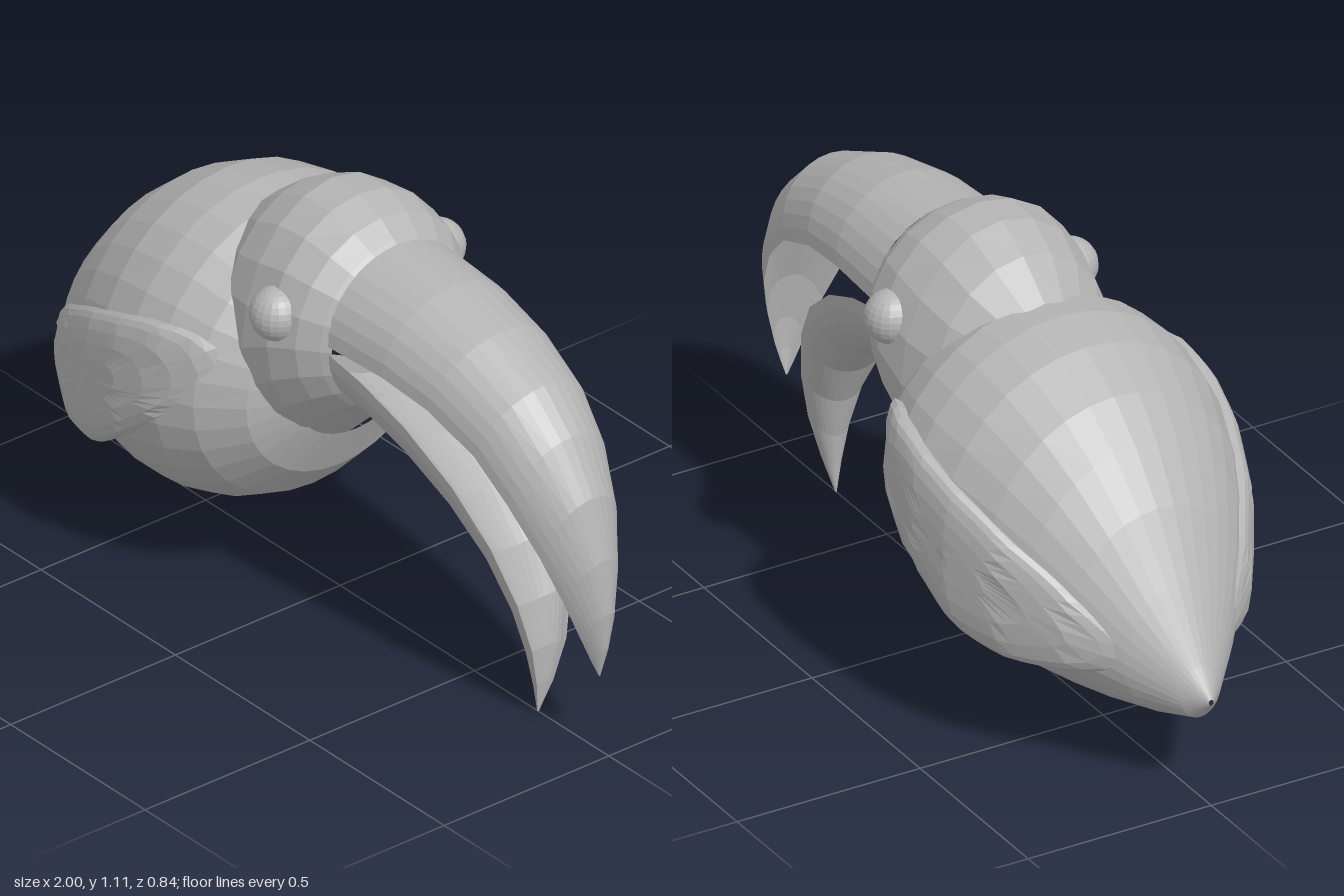
import * as THREE from 'three';

const plumage = new THREE.MeshStandardMaterial({ color: 0xb4b4b4, flatShading: true });
plumage.name = 'grey';

// Skin a list of equal-length closed rings and cap both ends
function loft(name, rings) {
  const pos = [], idx = [], n = rings[0].length;
  for (const ring of rings) for (const p of ring) pos.push(...p);
  for (let i = 0; i < rings.length - 1; i++) {
    for (let j = 0; j < n; j++) {
      const a = i * n + j, b = i * n + (j + 1) % n;
      idx.push(a, b, a + n, b, b + n, a + n);
    }
  }
  const cap = (ring, base, flip) => {
    const c = [0, 1, 2].map(k => ring.reduce((s, p) => s + p[k], 0) / n);
    const centre = pos.length / 3;
    pos.push(...c);
    for (let j = 0; j < n; j++) {
      const a = base + j, b = base + (j + 1) % n;
      if (flip) idx.push(centre, b, a);
      else idx.push(centre, a, b);
    }
  };
  cap(rings[0], 0, false);
  cap(rings[rings.length - 1], (rings.length - 1) * n, true);
  const geo = new THREE.BufferGeometry();
  geo.setAttribute('position', new THREE.Float32BufferAttribute(pos, 3));
  geo.setIndex(idx);
  geo.computeVertexNormals();
  const mesh = new THREE.Mesh(geo, plumage);
  mesh.name = name;
  return mesh;
}

// Oval cross-sections along x: [x, bottom, top, half width]
function ovalBody(name, sections, sides) {
  return loft(name, sections.map(([x, lo, hi, w]) =>
    Array.from({ length: sides }, (_, j) => {
      const t = (j / sides) * Math.PI * 2;
      return [x, (lo + hi) / 2 + Math.cos(t) * (hi - lo) / 2, Math.sin(t) * w];
    })));
}

// Curved trough: [rim x, rim y, ridge x, ridge y, half width], hollow on the rim side
function beakHalf(name, sections, dir) {
  const steps = 16, hollow = 0.55;
  return loft(name, sections.map(([rx, ry, ax, ay, w]) => {
    const ring = [];
    const add = (t, depth, width) => {
      const s = Math.sin(t) * depth;
      ring.push([rx + (ax - rx) * s, ry + (ay - ry) * s, -dir * width * Math.cos(t)]);
    };
    for (let j = 0; j <= steps; j++) add((j / steps) * Math.PI, 1, w);
    for (let j = steps - 1; j > 0; j--) add((j / steps) * Math.PI, hollow, w * 0.94);
    return ring;
  }));
}

// Piecewise linear lookup
function lerpTable(table, x) {
  for (let i = 1; i < table.length; i++) {
    const [x0, y0] = table[i - 1], [x1, y1] = table[i];
    if (x <= x1) return y0 + (y1 - y0) * Math.max(0, (x - x0) / (x1 - x0));
  }
  return table[table.length - 1][1];
}

// Leaf-shaped cushion that wraps round the flank
function wing(name) {
  const outline = new THREE.CatmullRomCurve3([
    [-0.86, 0.35], [-0.75, 0.5], [-0.6, 0.61], [-0.4, 0.71], [-0.2, 0.77], [-0.1, 0.76],
    [-0.055, 0.68], [-0.08, 0.6], [-0.2, 0.5], [-0.35, 0.39], [-0.45, 0.325],
    [-0.6, 0.295], [-0.75, 0.305],
  ].map(([x, y]) => new THREE.Vector3(x, y, 0)), true);
  const flank = [[-0.86, 0.16], [-0.75, 0.265], [-0.6, 0.355], [-0.45, 0.405], [-0.33, 0.422],
    [-0.2, 0.415], [-0.1, 0.375], [-0.05, 0.325]];
  const pts = outline.getSpacedPoints(44).slice(0, 44);
  // [scale from centre, depth below the flank]
  const layers = [[0.05, 0], [0.3, 0], [0.55, 0.002], [0.75, 0.007], [0.9, 0.016],
    [0.97, 0.026], [1, 0.04], [0.96, 0.06], [0.8, 0.11]];
  return loft(name, layers.map(([r, drop]) => pts.map(p => {
    const x = -0.44 + (p.x + 0.44) * r, y = 0.52 + (p.y - 0.52) * r;
    return [x, y, lerpTable(flank, x) - drop];
  })));
}

export function createModel() {
  const bird = new THREE.Group();
  bird.name = 'bird';

  // Plump body tapering to the tail
  bird.add(ovalBody('body', [
    [-1, 0.27, 0.285, 0.006], [-0.95, 0.215, 0.355, 0.055], [-0.85, 0.185, 0.52, 0.15],
    [-0.75, 0.167, 0.68, 0.235], [-0.65, 0.155, 0.8, 0.3], [-0.55, 0.147, 0.885, 0.35],
    [-0.42, 0.14, 0.955, 0.395], [-0.3, 0.15, 0.98, 0.412], [-0.2, 0.18, 0.975, 0.402],
    [-0.1, 0.235, 0.93, 0.365], [0, 0.335, 0.85, 0.285], [0.06, 0.46, 0.75, 0.18],
  ], 32));

  // Head and neck, cut flat where the beak starts
  bird.add(ovalBody('head', [
    [-0.23, 0.55, 0.98, 0.17], [-0.13, 0.42, 1.06, 0.25], [-0.03, 0.38, 1.108, 0.275],
    [0.07, 0.48, 1.11, 0.28], [0.15, 0.555, 1.08, 0.26], [0.2, 0.595, 1.045, 0.225],
    [0.22, 0.613, 1.025, 0.205],
  ], 20));

  // Long drooping beak
  bird.add(beakHalf('upperBeak', [
    [0.21, 0.835, 0.21, 1.035, 0.21], [0.4, 0.835, 0.42, 1.02, 0.2],
    [0.55, 0.81, 0.6, 0.978, 0.185], [0.7, 0.745, 0.76, 0.905, 0.165],
    [0.8, 0.65, 0.86, 0.81, 0.145], [0.88, 0.53, 0.94, 0.68, 0.112],
    [0.925, 0.41, 0.985, 0.53, 0.075], [0.948, 0.31, 1, 0.39, 0.042],
    [0.957, 0.25, 0.99, 0.29, 0.02], [0.964, 0.205, 0.967, 0.205, 0.002],
  ], 1));
  bird.add(beakHalf('lowerBeak', [
    [0.21, 0.815, 0.21, 0.615, 0.21], [0.32, 0.785, 0.28, 0.597, 0.2],
    [0.46, 0.72, 0.4, 0.552, 0.182], [0.6, 0.61, 0.53, 0.475, 0.152],
    [0.7, 0.475, 0.63, 0.38, 0.117], [0.76, 0.33, 0.69, 0.27, 0.082],
    [0.778, 0.2, 0.72, 0.16, 0.052], [0.763, 0.09, 0.73, 0.075, 0.025],
    [0.737, 0, 0.734, 0, 0.002],
  ], -1));

  // Small block at the back of the mouth
  const mouth = new THREE.Mesh(new THREE.BoxGeometry(0.1, 0.1, 0.2), plumage);
  mouth.name = 'mouth';
  mouth.position.set(0.255, 0.8, 0);
  bird.add(mouth);

  // Eyes and wings on both sides
  const eyeGeo = new THREE.SphereGeometry(0.068, 20, 14);
  for (const side of [1, -1]) {
    const label = side > 0 ? 'near' : 'far';
    const eye = new THREE.Mesh(eyeGeo, plumage);
    eye.name = label + 'Eye';
    eye.position.set(0.065, 0.873, side * 0.243);
    const flap = wing(label + 'Wing');
    flap.scale.z = side;
    bird.add(eye, flap);
  }
  return bird;
}
